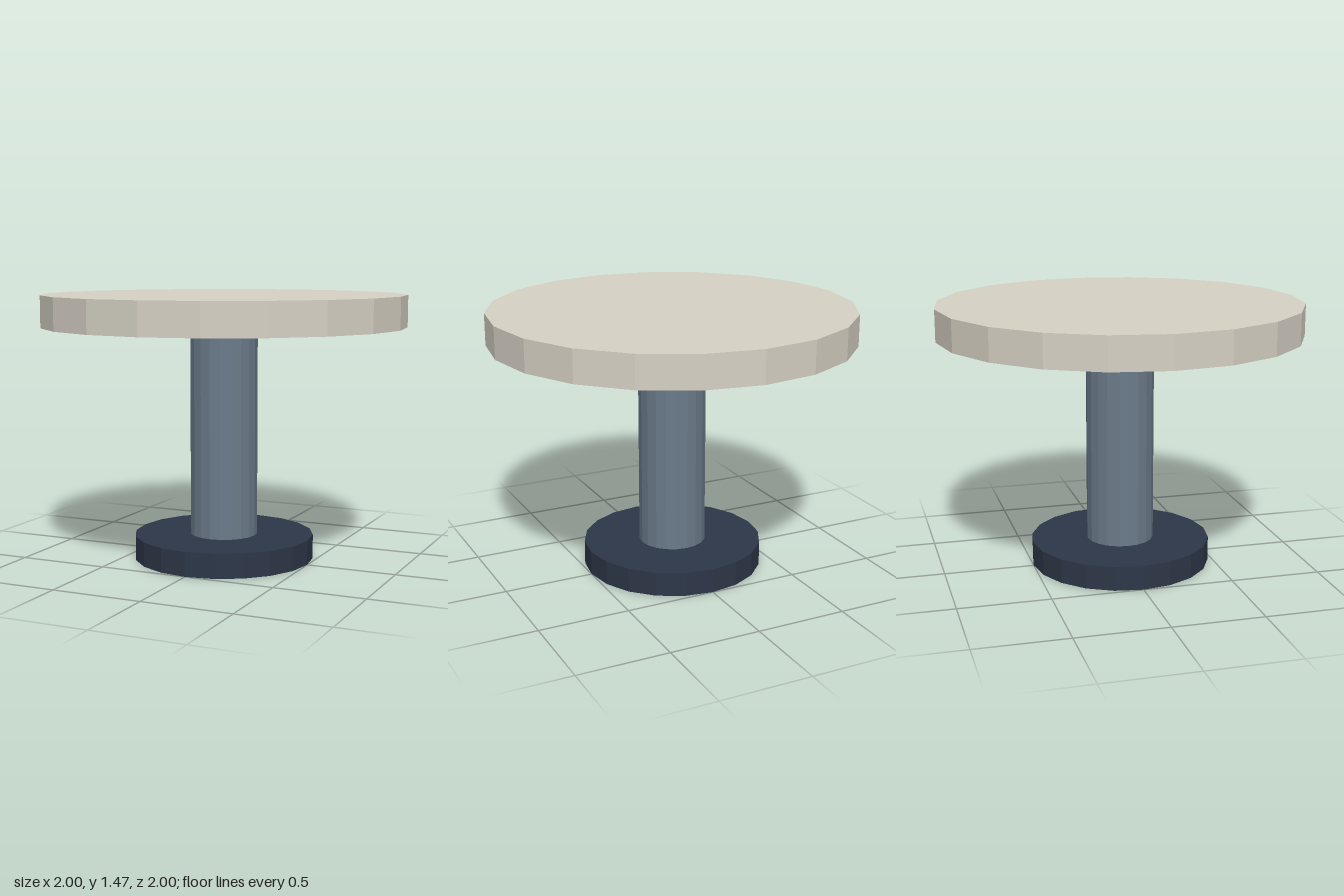
import * as THREE from 'three';

const SIDES = 20;

// Faceted upright disc or column between two heights
function drum(name, radius, bottom, top, color) {
  const geometry = new THREE.CylinderGeometry(radius, radius, top - bottom, SIDES);
  const material = new THREE.MeshStandardMaterial({ color, flatShading: true });
  const mesh = new THREE.Mesh(geometry, material);
  mesh.name = name;
  mesh.position.y = (bottom + top) / 2;
  return mesh;
}

export function createModel() {
  const table = new THREE.Group();
  table.name = 'pedestalTable';
  table.add(
    drum('base', 0.5, 0, 0.135, 0x2d3748),
    drum('column', 0.187, 0.135, 1.295, 0x6b7b8a),
    drum('tableTop', 1, 1.295, 1.47, 0xd6d1c4),
  );
  return table;
}
